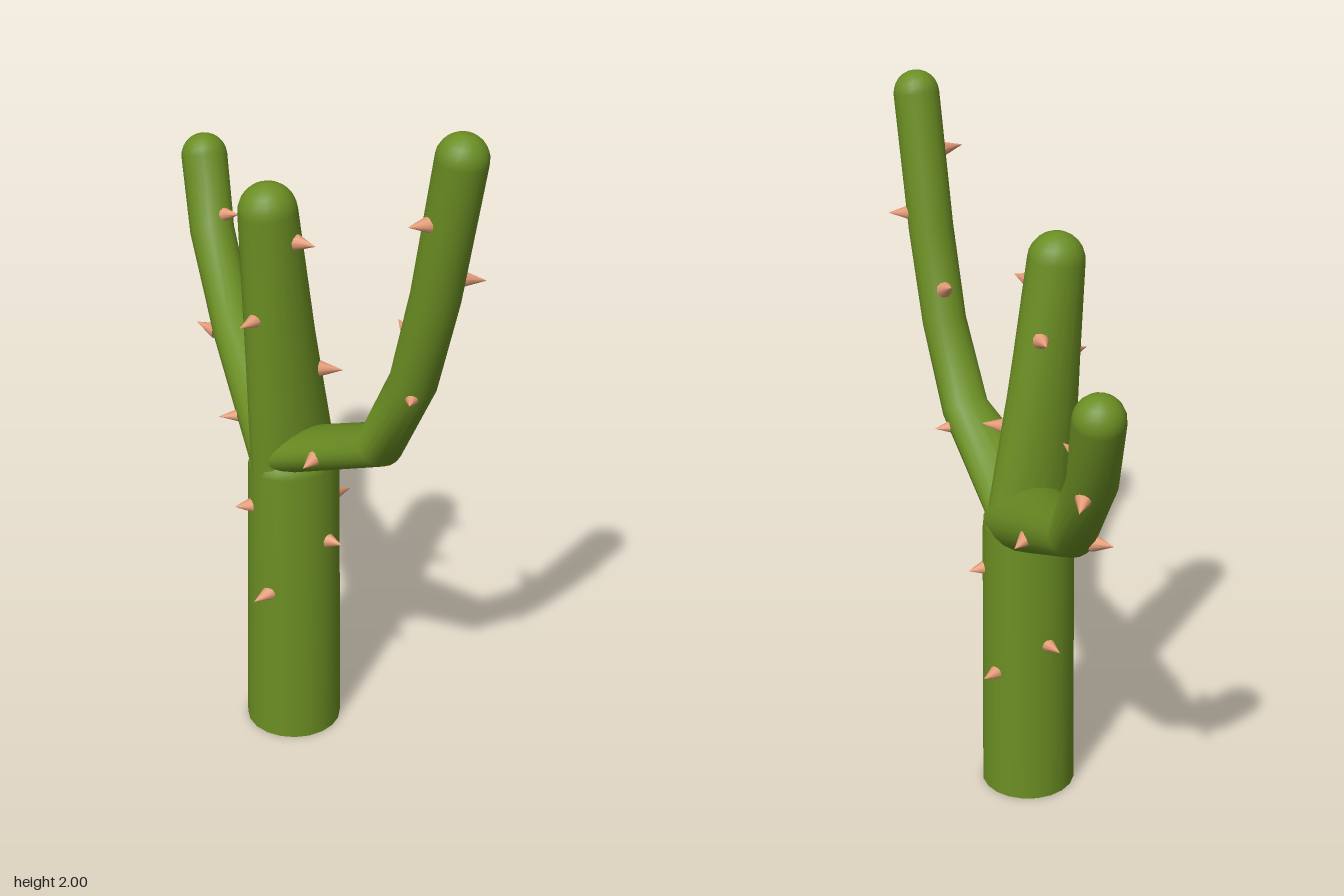
import * as THREE from 'three';

const green = new THREE.MeshStandardMaterial({ color: 0x6b8e23 });
const pink = new THREE.MeshStandardMaterial({ color: 0xe49c78 });
const SIDES = 20;

// Lofts elliptical rings [x, y, z, half-width, half-depth along z] and closes the end with a dome
function loft(name, rings, domeHeight) {
  const centres = rings.map(r => new THREE.Vector3(r[0], r[1], r[2]));
  const n = rings.length;
  const pos = [], index = [];
  const addRing = (c, t, a, b) => {
    const u = new THREE.Vector3(0, 0, 1).addScaledVector(t, -t.z).normalize();
    const v = new THREE.Vector3().crossVectors(t, u);
    for (let j = 0; j < SIDES; j++) {
      const ang = (j / SIDES) * Math.PI * 2;
      const p = c.clone().addScaledVector(u, b * Math.cos(ang)).addScaledVector(v, a * Math.sin(ang));
      pos.push(p.x, p.y, p.z);
    }
  };
  const tangent = i => {
    const before = centres[i].clone().sub(centres[Math.max(i - 1, 0)]).normalize();
    const after = centres[Math.min(i + 1, n - 1)].clone().sub(centres[i]).normalize();
    return before.add(after).normalize();
  };
  rings.forEach((r, i) => addRing(centres[i], tangent(i), r[3], r[4]));
  const t = tangent(n - 1), end = rings[n - 1];
  const steps = 6;
  for (let k = 1; k <= steps; k++) {
    const phi = (k / steps) * Math.PI / 2, s = Math.max(Math.cos(phi), 0.002);
    addRing(centres[n - 1].clone().addScaledVector(t, domeHeight * Math.sin(phi)), t, end[3] * s, end[4] * s);
  }
  for (let i = 0; i < n + steps - 1; i++) {
    for (let j = 0; j < SIDES; j++) {
      const a = i * SIDES + j, b = i * SIDES + (j + 1) % SIDES;
      index.push(a, b, b + SIDES, a, b + SIDES, a + SIDES);
    }
  }
  const geo = new THREE.BufferGeometry();
  geo.setAttribute('position', new THREE.Float32BufferAttribute(pos, 3));
  geo.setIndex(index);
  geo.computeVertexNormals();
  const mesh = new THREE.Mesh(geo, green);
  mesh.name = name;
  return mesh;
}

// Small cone from a base point on the skin to its tip
function spine(base, tip) {
  const from = new THREE.Vector3(...base), to = new THREE.Vector3(...tip);
  const dir = to.clone().sub(from).normalize();
  from.addScaledVector(dir, -0.012);
  const mesh = new THREE.Mesh(new THREE.ConeGeometry(0.024, from.distanceTo(to), 10), pink);
  mesh.position.copy(from).add(to).multiplyScalar(0.5);
  mesh.quaternion.setFromUnitVectors(new THREE.Vector3(0, 1, 0), dir);
  mesh.name = 'spine';
  return mesh;
}

export function createModel() {
  const group = new THREE.Group();
  group.name = 'cactus';

  // Trunk, narrowing sideways only, with a flat underside
  group.add(loft('trunk', [
    [0.037, 0, 0.037, 0.136, 0.137],
    [0.037, 0.42, 0.037, 0.125, 0.137],
    [0.037, 0.85, 0.037, 0.114, 0.136],
  ], 0.07));
  const underside = new THREE.Mesh(new THREE.CircleGeometry(0.136, SIDES), green);
  underside.rotation.x = Math.PI / 2;
  underside.position.set(0.037, 0, 0.037);
  underside.name = 'trunkUnderside';
  group.add(underside);

  // Middle stem and the two bent arms, all flaring in depth where they join the trunk
  group.add(loft('middleStem', [
    [0.037, 0.86, 0.04, 0.082, 0.134],
    [0.037, 1.24, 0.083, 0.08, 0.105],
    [0.037, 1.62, 0.122, 0.079, 0.08],
  ], 0.079));
  group.add(loft('leftArm', [
    [0.05, 0.892, 0.037, 0.06, 0.125],
    [0.41, 1.062, 0.035, 0.062, 0.07],
    [0.535, 1.295, 0.035, 0.062, 0.065],
    [0.61, 1.56, 0.035, 0.063, 0.066],
    [0.687, 1.937, 0.036, 0.066, 0.066],
  ], 0.066));
  group.add(loft('rightArm', [
    [0.04, 0.865, 0.035, 0.1, 0.13],
    [-0.42, 1.045, -0.092, 0.062, 0.066],
    [-0.61, 1.285, -0.15, 0.066, 0.066],
    [-0.686, 1.49, -0.18, 0.068, 0.068],
  ], 0.068));

  // Spines: base point, tip point
  const spines = new THREE.Group();
  spines.name = 'spines';
  [
    // trunk
    [[0.01, 0.74, 0.17], [0.0, 0.745, 0.215]],
    [[0.08, 0.48, 0.163], [0.085, 0.475, 0.215]],
    [[-0.08, 0.505, 0.035], [-0.148, 0.512, 0.035]],
    [[0.155, 0.63, 0.0], [0.197, 0.632, -0.01]],
    [[0.07, 0.72, -0.092], [0.075, 0.718, -0.137]],
    [[0.0, 0.41, -0.092], [-0.02, 0.412, -0.143]],
    // middle stem
    [[0.057, 1.33, 0.18], [0.075, 1.33, 0.245]],
    [[0.115, 1.545, 0.08], [0.168, 1.548, 0.065]],
    [[-0.03, 1.42, 0.04], [-0.08, 1.425, 0.025]],
    [[0.09, 1.14, -0.02], [0.132, 1.14, -0.06]],
    // left arm
    [[0.245, 0.975, 0.128], [0.262, 0.97, 0.178]],
    [[0.372, 1.03, -0.03], [0.385, 1.028, -0.08]],
    [[0.57, 1.272, 0.07], [0.603, 1.274, 0.105]],
    [[0.495, 1.405, 0.02], [0.44, 1.428, 0.01]],
    [[0.645, 1.775, 0.1], [0.64, 1.78, 0.157]],
    [[0.645, 1.602, -0.022], [0.68, 1.598, -0.067]],
    // right arm
    [[-0.175, 0.915, 0.068], [-0.195, 0.92, 0.128]],
    [[-0.235, 0.955, -0.13], [-0.26, 0.95, -0.175]],
    [[-0.48, 1.035, -0.055], [-0.535, 1.045, -0.035]],
    [[-0.565, 1.345, -0.165], [-0.508, 1.36, -0.175]],
    [[-0.65, 1.265, -0.2], [-0.69, 1.255, -0.235]],
  ].forEach(([base, tip]) => spines.add(spine(base, tip)));
  group.add(spines);
  return group;
}
